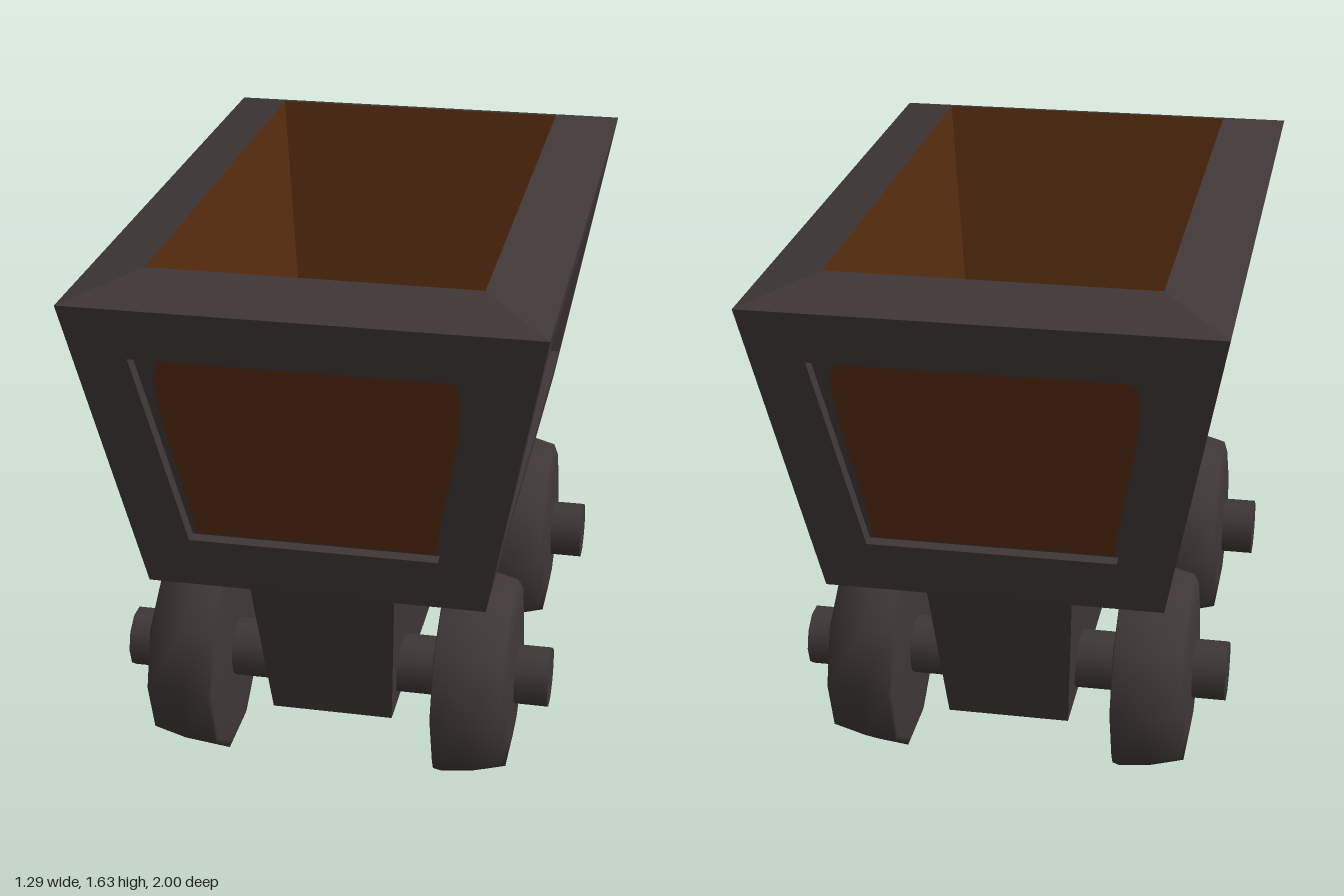
import * as THREE from 'three';

const iron = new THREE.MeshStandardMaterial({ color: 0x3f3737 });
iron.name = 'darkIron';
const wood = new THREE.MeshStandardMaterial({ color: 0x562c0f });
wood.name = 'brownWood';

// Flat-shaded mesh from a list of quads, corners counter-clockwise
function quadMesh(name, quads, material) {
  const pos = [];
  for (const [a, b, c, d] of quads) pos.push(...a, ...b, ...c, ...a, ...c, ...d);
  const g = new THREE.BufferGeometry();
  g.setAttribute('position', new THREE.Float32BufferAttribute(pos, 3));
  g.computeVertexNormals();
  const m = new THREE.Mesh(g, material);
  m.name = name;
  return m;
}

// Point on side k (0 front, 1 left, 2 back, 3 right): u along it, w outwards
function onSide(k, u, y, w) {
  return [[u, y, w], [w, y, -u], [-u, y, -w], [-w, y, u]][k];
}

// Four quads joining two rectangular rings [halfX, y, halfZ]
function loft(r0, r1) {
  return [0, 1, 2, 3].map(k => {
    const [u, w] = k % 2 ? [2, 0] : [0, 2];
    return [onSide(k, -r0[u], r0[1], r0[w]), onSide(k, r0[u], r0[1], r0[w]),
      onSide(k, r1[u], r1[1], r1[w]), onSide(k, -r1[u], r1[1], r1[w])];
  });
}

// Horizontal rectangle facing up or down
function cap([x, y, z], up) {
  const c = [[-x, y, z], [x, y, z], [x, y, -z], [-x, y, -z]];
  return up ? c : c.reverse();
}

const base = [0.48, 0.7, 0.83], brim = [0.645, 1.585, 1.0];
const lip = [0.455, 1.635, 0.81], floor = [0.37, 0.8, 0.66];

// One outer wall: frame, recess and wooden panel
function sideWall(k, name, win, woodHalf) {
  const [u, w] = k % 2 ? [2, 0] : [0, 2];
  const out = y => base[w] + (brim[w] - base[w]) * (y - base[1]) / (brim[1] - base[1]);
  const P = (x, y, depth) => onSide(k, x, y, out(y) - depth);
  const corners = ([xb, yb, xt, yt], d) =>
    [P(-xb, yb, d), P(xb, yb, d), P(xt, yt, d), P(-xt, yt, d)];
  const outer = corners([base[u], base[1], brim[u], brim[1]], 0);
  const edge = corners(win, 0), back = corners(win, 0.04);
  const quads = [back];
  for (let i = 0; i < 4; i++) {
    const j = (i + 1) % 4;
    quads.push([outer[i], outer[j], edge[j], edge[i]], [edge[i], edge[j], back[j], back[i]]);
  }
  const g = new THREE.Group();
  g.name = name;
  g.add(quadMesh('wallFrame', quads, iron));

  // Wood with softened corners, as stacked strips
  const strips = [];
  for (let i = 0; i + 1 < woodHalf.length; i++) {
    const [x0, y0] = woodHalf[i], [x1, y1] = woodHalf[i + 1];
    strips.push(corners([x0, y0, x1, y1], 0.036));
  }
  g.add(quadMesh('woodPanel', strips, wood));
  return g;
}

// Wheel profile as [radius, distance along the axle]
const wheelProfile = [[0, 0.315], [0.22, 0.315], [0.3, 0.322], [0.32, 0.328], [0.31, 0.42],
  [0.284, 0.52], [0.2, 0.532], [0, 0.54]].map(p => new THREE.Vector2(...p));

export function createModel() {
  const model = new THREE.Group();

  // Tub
  const tub = new THREE.Group();
  tub.name = 'tub';
  const endWin = [0.35, 0.855, 0.465, 1.437], sideWin = [0.71, 0.845, 0.825, 1.442];
  const endWood = [[0.34, 0.862], [0.345, 0.92], [0.4, 1.22], [0.415, 1.36], [0.4, 1.41], [0.37, 1.435]];
  const sideWood = [[0.69, 0.852], [0.7, 0.92], [0.745, 1.23], [0.76, 1.36], [0.75, 1.41], [0.72, 1.44]];
  ['frontWall', 'leftWall', 'backWall', 'rightWall'].forEach((name, k) =>
    tub.add(sideWall(k, name, k % 2 ? sideWin : endWin, k % 2 ? sideWood : endWood)));
  tub.add(quadMesh('rim', loft(brim, lip), iron));
  tub.add(quadMesh('underside', [cap(base, false)], iron));
  tub.add(quadMesh('woodLining', [...loft(lip, floor), cap(floor, true)], wood));
  model.add(tub);

  // Tapered chassis under the tub
  const low = [0.18, 0.185, 0.62], high = [0.212, 0.7, 0.76];
  model.add(quadMesh('chassis', [...loft(low, high), cap(low, false)], iron));

  // Axles and wheels
  for (const [name, z] of [['front', 0.497], ['rear', -0.455]]) {
    const set = new THREE.Group();
    set.name = name + 'WheelSet';
    set.position.set(0, 0.306, z);
    const axle = new THREE.Mesh(new THREE.CylinderGeometry(0.09, 0.09, 1.27, 10), iron);
    axle.name = 'axle';
    axle.rotation.z = -Math.PI / 2;
    set.add(axle);
    for (const side of [1, -1]) {
      const wheel = new THREE.Mesh(new THREE.LatheGeometry(wheelProfile, 10), iron);
      wheel.name = side > 0 ? 'leftWheel' : 'rightWheel';
      wheel.rotation.z = -side * Math.PI / 2;
      set.add(wheel);
    }
    model.add(set);
  }
  return model;
}
